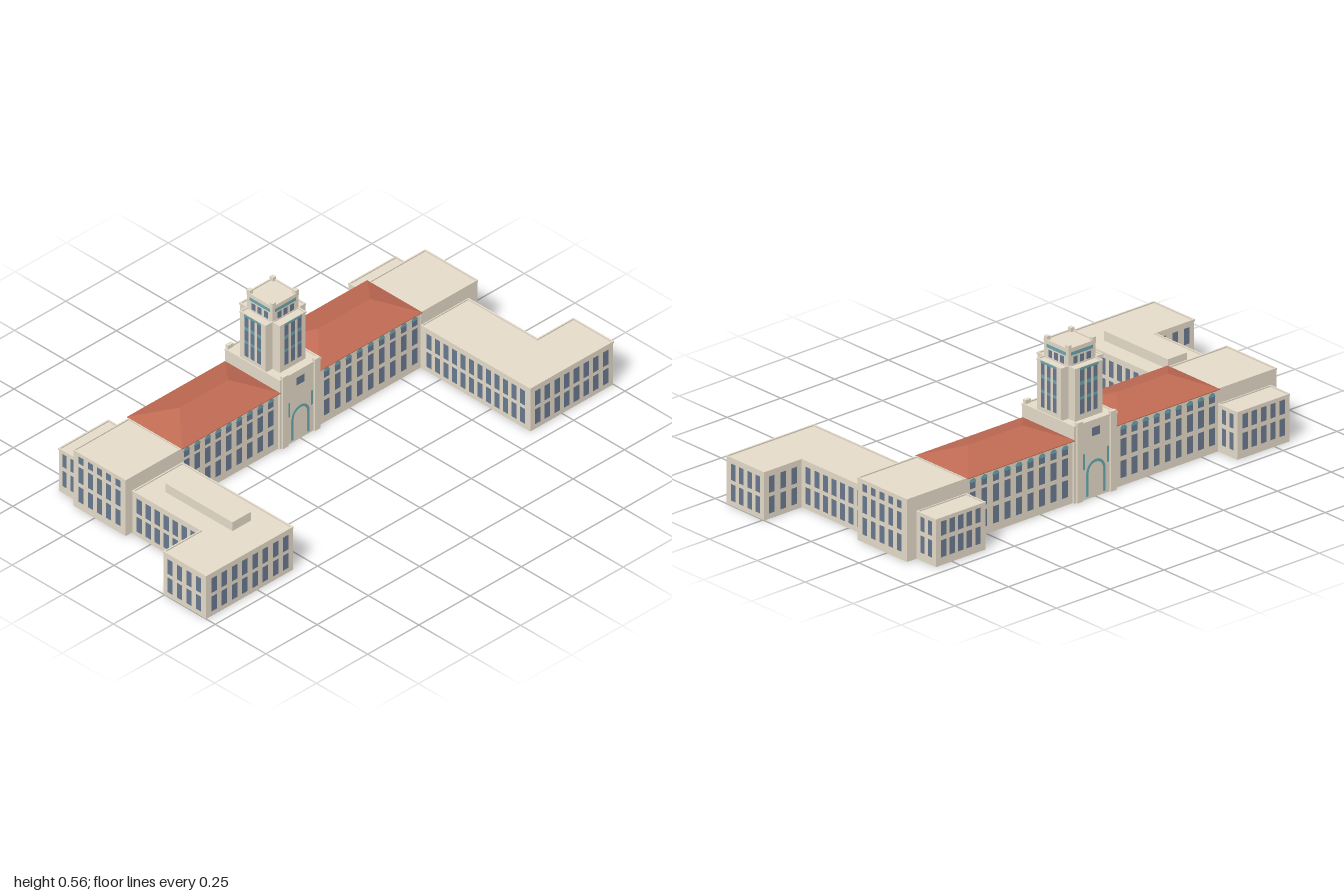
import * as THREE from 'three';
import { mergeGeometries } from 'three/addons/utils/BufferGeometryUtils.js';
import { ConvexGeometry } from 'three/addons/geometries/ConvexGeometry.js';

const mat = (name, color) => {
  const m = new THREE.MeshStandardMaterial({ color });
  m.name = name;
  return m;
};

export function createModel() {
  const stone = mat('stone', 0xe4dac8);
  stone.side = THREE.DoubleSide; // the blocks are hollow shells, open below
  const tile = mat('roof tile', 0xbf6a53);
  const glass = mat('window glass', 0x697990);
  const teal = mat('teal trim', 0x6aa7af);
  const model = new THREE.Group();

  const add = (name, geometry, material) => {
    const mesh = new THREE.Mesh(geometry, material);
    mesh.name = name;
    model.add(mesh);
    return mesh;
  };
  const boxGeo = (x0, x1, y0, y1, z0, z1) =>
    new THREE.BoxGeometry(x1 - x0, y1 - y0, z1 - z0)
      .translate((x0 + x1) / 2, (y0 + y1) / 2, (z0 + z1) / 2);
  const spread = (a, b, n) => Array.from({ length: n }, (_, i) => a + (b - a) * i / (n - 1));

  // Upright prism without a bottom, from a right-angled plan of [x, z] corners
  const prism = (plan, hole, y0, y1) => {
    const path = (p, P) => new P(p.map(([x, z]) => new THREE.Vector2(x, -z)));
    const s = path(plan, THREE.Shape);
    if (hole) s.holes.push(path(hole, THREE.Path));
    const full = new THREE.ExtrudeGeometry(s, { depth: y1 - y0, bevelEnabled: false })
      .rotateX(-Math.PI / 2).translate(0, y0, 0);
    const all = full.attributes.position.array, kept = [];
    for (let i = 0; i < all.length; i += 9) {
      if (Math.max(all[i + 1], all[i + 4], all[i + 7]) > y0 + 1e-4) kept.push(...all.slice(i, i + 9));
    }
    const open = new THREE.BufferGeometry();
    open.setAttribute('position', new THREE.Float32BufferAttribute(kept, 3));
    open.computeVertexNormals();
    return open;
  };
  // Move every edge of a plan inward, or outward where d is negative
  const inset = (plan, d) => {
    let area = 0;
    plan.forEach(([x, z], i) => {
      const [a, b] = plan[(i + 1) % plan.length];
      area += x * b - a * z;
    });
    const k = Math.sign(area) * d;
    return plan.map(([x, z], i) => {
      const p = plan[(i + plan.length - 1) % plan.length], n = plan[(i + 1) % plan.length];
      const e = [[x - p[0], z - p[1]], [n[0] - x, n[1] - z]];
      return e.reduce(([u, v], [ex, ez]) => [u - Math.sign(ez) * k, v + Math.sign(ex) * k], [x, z]);
    });
  };
  // Flat-roofed block with a slim, slightly projecting parapet
  const block = (name, plan, h, y0 = 0) => add(name, mergeGeometries([
    prism(plan, null, y0, h - 0.005),
    prism(inset(plan, -0.0015), inset(plan, 0.004), h - 0.008, h)]), stone);
  const rect = (x0, x1, z0, z1) => [[x0, z0], [x1, z0], [x1, z1], [x0, z1]];

  // Put a geometry made around (0, y, 0) facing +z onto a wall
  const turns = { '+z': 0, '+x': Math.PI / 2, '-z': Math.PI, '-x': -Math.PI / 2 };
  const onWall = (geo, face, pos, u) => {
    geo.rotateY(turns[face]);
    return face[1] === 'z' ? geo.translate(u, 0, pos) : geo.translate(pos, 0, u);
  };
  const plates = (name, material, face, pos, columns, rows, w) => add(name, mergeGeometries(
    columns.flatMap(u => rows.map(([y0, y1]) =>
      onWall(new THREE.PlaneGeometry(w, y1 - y0).translate(0, (y0 + y1) / 2, 0.001),
        face, pos, u)))), material);
  // Round-headed frame with straight legs
  const archGeo = (r, t, foot, spring) => {
    const s = new THREE.Shape();
    s.moveTo(r, foot).lineTo(r, spring).absarc(0, spring, r, 0, Math.PI, false);
    s.lineTo(-r, foot).lineTo(t - r, foot).lineTo(t - r, spring);
    s.absarc(0, spring, r - t, Math.PI, 0, true).lineTo(r - t, foot);
    return new THREE.ExtrudeGeometry(s, { depth: 0.004, bevelEnabled: false, curveSegments: 8 })
      .translate(0, 0, -0.002);
  };
  // Half-round window head
  const headGeo = (r, y) => new THREE.CircleGeometry(r, 8, 0, Math.PI).translate(0, y, 0.001);

  const wingRows = [[0.02, 0.083], [0.098, 0.16]];
  const annexRows = [[0.03, 0.095], [0.112, 0.166]];
  const hallRows = [[0.03, 0.095], [0.112, 0.178]];
  const endRows = [...hallRows, [0.193, 0.222]];

  // The two end ranges: s is the side, the rest are distances from the centre
  const ends = [
    { s: 1, label: 'front', inner: 0.577, wing: 0.82, end: 0.847, x0: -0.09, x1: 0.455 },
    { s: -1, label: 'back', inner: 0.595, wing: 0.825, end: 0.87, x0: -0.097, x1: 0.442 },
  ];
  for (const { s, label, inner, wing, end, x0, x1 } of ends) {
    const out = s > 0 ? '+z' : '-z', into = s > 0 ? '-z' : '+z';
    block(label + 'EndBlock', rect(-0.355, -0.097, s * inner, s * end), 0.238);
    block(label + 'Annex', rect(-0.455, -0.355, s * inner, s * wing), 0.181);
    block(label + 'Wing', [[x0, inner], [x1, inner], [x1, 1], [0.245, 1], [0.245, wing], [x0, wing]]
      .map(([x, z]) => [x, s * z]), 0.183);

    const win = label + 'Windows';
    plates(win, glass, out, s * end, spread(-0.316, -0.135, 5), endRows, 0.025);
    plates(win, glass, out, s * wing, [-0.426, -0.387], annexRows, 0.02);
    plates(win, glass, into, s * inner, [-0.426, -0.387], annexRows, 0.02);
    plates(win, glass, '-x', -0.455, spread(s * (inner + 0.035), s * (wing - 0.035), 5), annexRows, 0.025);
    plates(win, glass, out, s * wing, spread(-0.057, 0.21, 7), wingRows, 0.026);
    plates(win, glass, out, s, spread(0.277, x1 - 0.037, 4), wingRows, 0.024);
    plates(win, glass, '+x', x1, spread(s * (inner + 0.035), s * 0.962, 8), wingRows, 0.027);
    plates(win, glass, '-x', 0.245, spread(s * (wing + 0.035), s * 0.965, 3), wingRows, 0.026);
    plates(win, glass, into, s * inner, spread(-0.057, x1 - 0.037, 12), wingRows, 0.025);

    // Long hall with a hipped roof
    add(label + 'Hall', prism(rect(-0.355, -0.1, s * 0.1, s * inner), null, 0, 0.238), stone);
    const p = (x, y, z) => new THREE.Vector3(x, y, s * z);
    const roof = [p(-0.227, 0.287, 0.218), p(-0.227, 0.287, inner - 0.12)];
    for (const x of [-0.364, -0.091]) for (const z of [0.096, inner]) {
      roof.push(p(x, 0.236, z), p(x, 0.239, z));
    }
    add(label + 'HipRoof', new ConvexGeometry(roof), tile);
    const bays = spread(s * 0.136, s * (inner - 0.03), 9);
    for (const [face, x] of [['+x', -0.1], ['-x', -0.355]]) {
      plates(label + 'HallWindows', glass, face, x, bays, [...hallRows, [0.19, 0.213]], 0.027);
      add(label + 'HallWindowHeads', mergeGeometries(bays.map(z =>
        onWall(headGeo(0.016, 0.213), face, x, z))), teal);
    }
  }
  add('rooftopPenthouse', prism(rect(-0.01, 0.322, 0.65, 0.74), null, 0.178, 0.215), stone);

  // Tower base with buttresses, entrance arches and slit windows
  block('towerBase', rect(-0.363, -0.092, -0.1, 0.1), 0.293);
  for (const [face, x] of [['+x', -0.092], ['-x', -0.363]]) {
    add('towerButtresses', mergeGeometries([-0.078, 0.078].map(z =>
      boxGeo(x - 0.007, x + 0.007, 0, 0.303, z - 0.013, z + 0.013))), stone);
    add('entranceArch', onWall(archGeo(0.044, 0.01, 0.01, 0.098), face, x, 0), teal);
    plates('entranceSlits', teal, face, x, [-0.056, 0.056], [[0.115, 0.175]], 0.009);
    plates('entranceWindow', glass, face, x, [0], [[0.232, 0.264]], 0.038);
  }

  // Cross-plan shaft and crown
  const cx = -0.228;
  block('towerShaftWide', rect(-0.327, -0.129, -0.063, 0.063), 0.488, 0.288);
  block('towerShaftDeep', rect(-0.291, -0.165, -0.097, 0.097), 0.488, 0.288);
  block('towerCrown', rect(-0.291, -0.165, -0.063, 0.063), 0.552, 0.483);
  add('towerPinnacles', mergeGeometries([-1, 1].flatMap(i => [-1, 1].map(j =>
    boxGeo(cx + i * 0.056 - 0.008, cx + i * 0.056 + 0.008, 0.54, 0.563,
      j * 0.056 - 0.008, j * 0.056 + 0.008)))), stone);
  const sides = [['+z', 0.097, 0.063, cx], ['-z', -0.097, -0.063, cx],
    ['+x', -0.129, -0.165, 0], ['-x', -0.327, -0.291, 0]];
  for (const [face, shaft, crown, mid] of sides) {
    const cols = [mid - 0.031, mid, mid + 0.031];
    plates('towerWindows', glass, face, shaft, cols,
      [[0.31, 0.365], [0.376, 0.42], [0.434, 0.477]], 0.019);
    plates('towerSpandrels', teal, face, shaft, cols, [[0.365, 0.376], [0.42, 0.434]], 0.019);
    plates('towerBand', teal, face, shaft + Math.sign(shaft - crown) * 0.001, [mid], [[0.477, 0.486]], 0.085);
    plates('crownWindows', glass, face, crown, cols, [[0.489, 0.517]], 0.019);
    plates('crownBand', teal, face, crown, [mid], [[0.523, 0.536]], 0.102);
  }
  return model;
}
